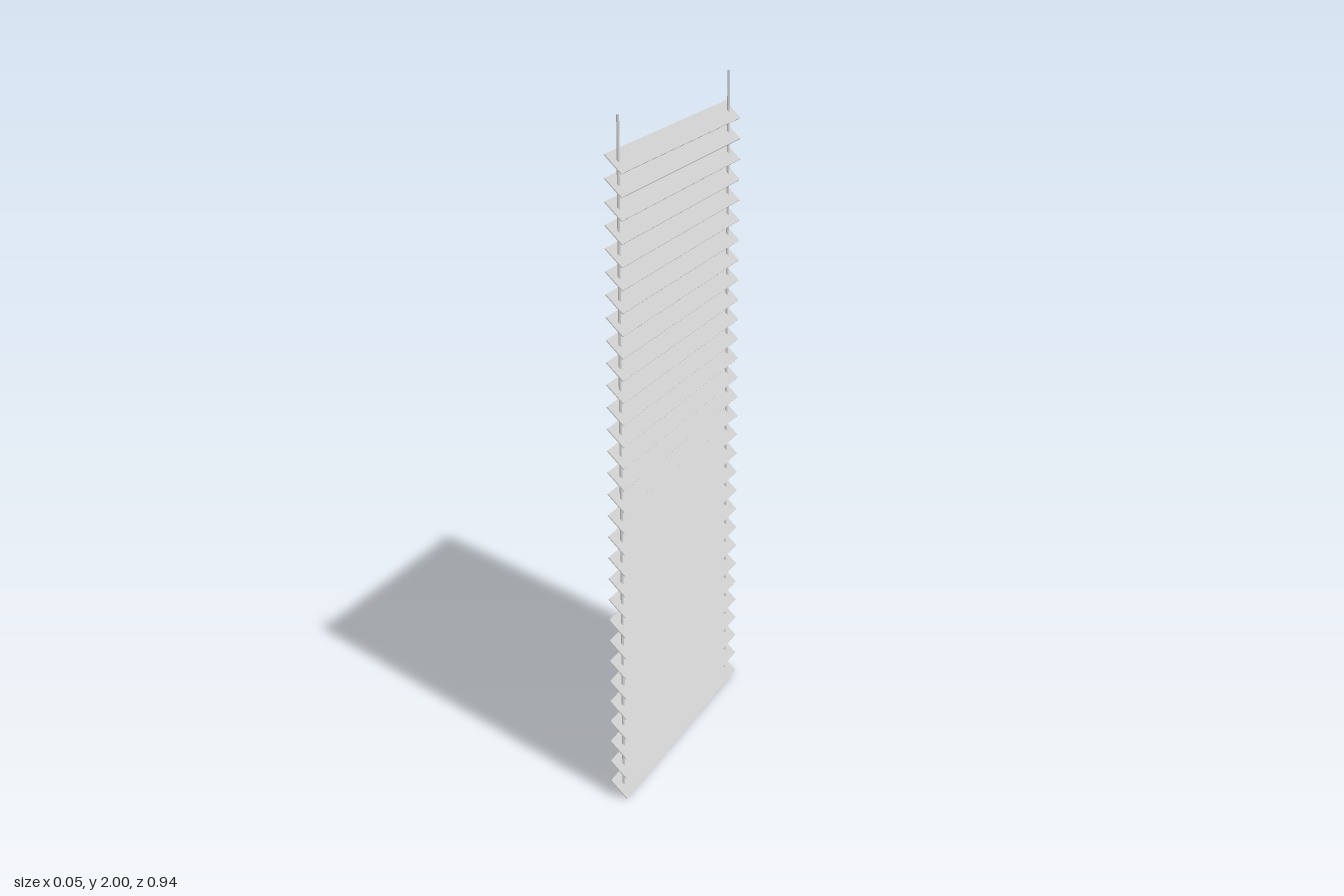
import * as THREE from 'three';

export function createModel() {
  const blind = new THREE.Group();
  blind.name = 'windowBlind';
  const material = new THREE.MeshStandardMaterial({ color: 0xcccccc });

  // Tilted slats, high on the -x edge and low on the +x edge
  const slatCount = 30, firstY = 0.027, lastY = 1.874;
  const slatGeometry = new THREE.BoxGeometry(0.07, 0.003, 0.942);
  slatGeometry.rotateZ(-Math.PI / 4);
  const slats = new THREE.Group();
  slats.name = 'slats';
  for (let i = 0; i < slatCount; i++) {
    const slat = new THREE.Mesh(slatGeometry, material);
    slat.name = `slat${i + 1}`;
    slat.position.y = THREE.MathUtils.lerp(firstY, lastY, i / (slatCount - 1));
    slats.add(slat);
  }
  blind.add(slats);

  // Two vertical cords threaded through the slats
  const cordGeometry = new THREE.CylinderGeometry(0.004, 0.004, 2, 12);
  for (const side of [-1, 1]) {
    const cord = new THREE.Mesh(cordGeometry, material);
    cord.name = side > 0 ? 'frontCord' : 'backCord';
    cord.position.set(0, 1, side * 0.433);
    blind.add(cord);
  }
  return blind;
}
